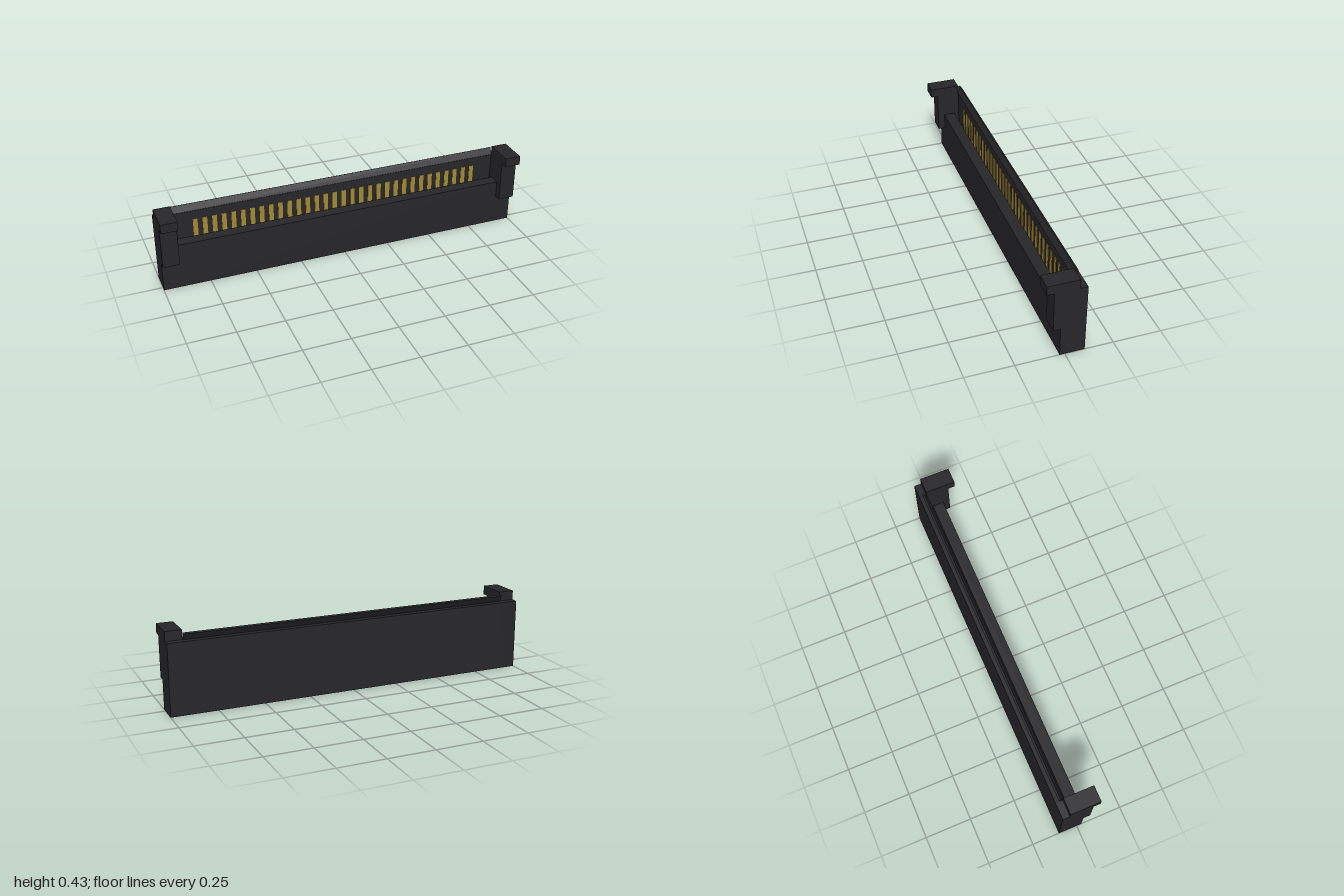
import * as THREE from 'three';

const black = new THREE.MeshStandardMaterial({ color: 0x27272a });
const gold = new THREE.MeshStandardMaterial({ color: 0xa58a32 });

// Extrudes a side profile of [z, y] points along x, centred on cx.
function prism(name, points, width, cx = 0) {
  const shape = new THREE.Shape(points.map(([z, y]) => new THREE.Vector2(z, y)));
  const geometry = new THREE.ExtrudeGeometry(shape, { depth: width, bevelEnabled: false });
  geometry.translate(0, 0, -width / 2).rotateY(-Math.PI / 2).translate(cx, 0, 0);
  const mesh = new THREE.Mesh(geometry, black);
  mesh.name = name;
  return mesh;
}

export function createModel() {
  const group = new THREE.Group();
  group.name = 'edgeConnector';
  const inner = 1.824, endWidth = 0.088;

  // Housing: tall back wall, narrow card slot and low front lip
  group.add(prism('housing', [
    [-0.102, 0], [0.026, 0], [0.026, 0.253], [-0.035, 0.253],
    [-0.035, 0.12], [-0.063, 0.12], [-0.063, 0.383], [-0.102, 0.383],
  ], inner));

  // End posts with forward hooks
  for (const side of [-1, 1]) {
    group.add(prism(side > 0 ? 'leftEndPost' : 'rightEndPost', [
      [-0.102, 0], [0.026, 0], [0.026, 0.161], [0.064, 0.161], [0.064, 0.384],
      [0.102, 0.384], [0.102, 0.434], [-0.063, 0.434], [-0.063, 0.383], [-0.102, 0.383],
    ], endWidth, side * (1 - endWidth / 2)));
  }

  // Guide flap leaning back from the top of the rear wall
  group.add(prism('guideFlap', [
    [-0.0585, 0.387], [-0.0765, 0.4225], [-0.087, 0.417], [-0.069, 0.382],
  ].reverse(), inner));

  // Row of contacts on the slot's rear wall
  const contacts = new THREE.Group();
  contacts.name = 'contacts';
  const contactGeometry = new THREE.BoxGeometry(0.025, 0.215, 0.004);
  const count = 32, span = 1.58;
  for (let i = 0; i < count; i++) {
    const contact = new THREE.Mesh(contactGeometry, gold);
    contact.name = 'contact';
    contact.position.set(-span / 2 + (span * i) / (count - 1), 0.2275, -0.063);
    contacts.add(contact);
  }
  group.add(contacts);
  return group;
}
